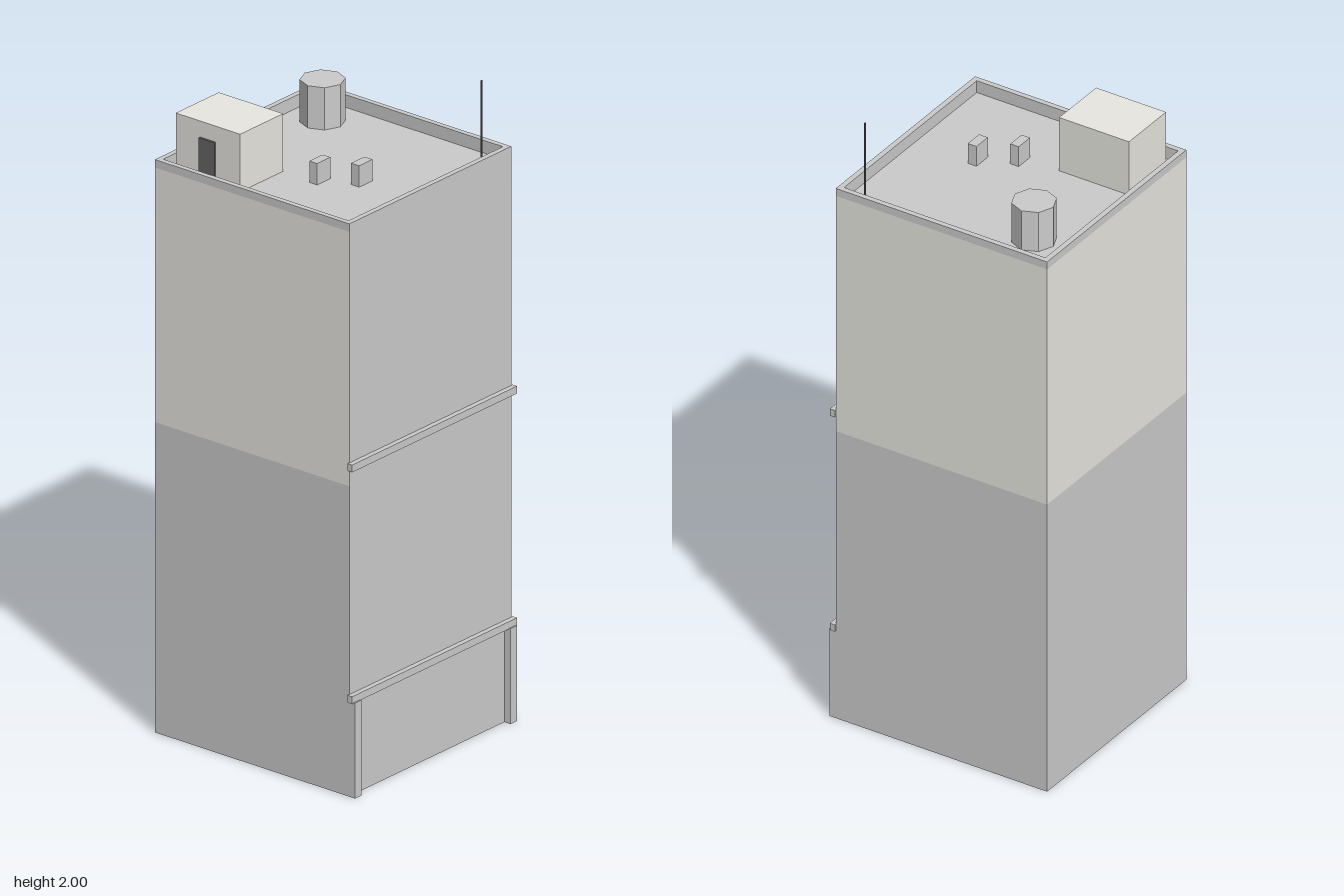
import * as THREE from 'three';

export function createModel() {
  const model = new THREE.Group();
  const mat = (color, side = THREE.FrontSide) =>
    new THREE.MeshStandardMaterial({ color, side, flatShading: true });
  const grey = mat(0xcccccc);
  const greySheet = mat(0xcccccc, THREE.DoubleSide);
  const paleSheet = mat(0xe8e7e1, THREE.DoubleSide);
  const pale = mat(0xe8e7e1);
  const dark = mat(0x666666);

  const X = 0.363, BACK = -0.373, FRONT = 0.352;
  const DECK = 1.75, SPLIT = 0.97, WALL_TOP = 1.765, TOP = 1.79;
  const DEPTH = FRONT - BACK, MID_Z = (FRONT + BACK) / 2;

  const add = (name, geometry, material, x = 0, y = 0, z = 0) => {
    const mesh = new THREE.Mesh(geometry, material);
    mesh.name = name;
    mesh.position.set(x, y, z);
    model.add(mesh);
    return mesh;
  };
  // box given by its two extreme corners
  const box = (name, material, x0, x1, y0, y1, z0, z1) =>
    add(name, new THREE.BoxGeometry(x1 - x0, y1 - y0, z1 - z0), material,
      (x0 + x1) / 2, (y0 + y1) / 2, (z0 + z1) / 2);

  // thin shell walls, open underneath, in two tiers
  for (const [tier, y0, y1, material] of [
    ['lower', 0, SPLIT, greySheet],
    ['upper', SPLIT, WALL_TOP, paleSheet],
  ]) {
    const y = (y0 + y1) / 2, h = y1 - y0;
    for (const s of [-1, 1]) {
      add(tier + (s > 0 ? 'LeftWall' : 'RightWall'),
        new THREE.PlaneGeometry(DEPTH, h), material, s * X, y, MID_Z).rotation.y = s * Math.PI / 2;
    }
    add(tier + 'BackWall', new THREE.PlaneGeometry(2 * X, h), material, 0, y, BACK).rotation.y = Math.PI;
  }

  // front wall above the shopfront, and the shopfront panel
  add('frontWall', new THREE.PlaneGeometry(2 * X, WALL_TOP - 0.295), greySheet,
    0, (WALL_TOP + 0.295) / 2, FRONT);
  add('shopfrontPanel', new THREE.PlaneGeometry(2 * X, 0.295), greySheet, 0, 0.1475, FRONT - 0.002);

  // pilasters and cornices on the front
  for (const s of [-1, 1]) {
    add(s > 0 ? 'leftPilaster' : 'rightPilaster', new THREE.BoxGeometry(0.029, 0.298, 0.023),
      grey, s * (X - 0.0145), 0.149, FRONT + 0.0095);
  }
  for (const [name, y] of [['lowerCornice', 0.296], ['middleCornice', 1.02]]) {
    box(name, grey, -0.37, 0.37, y, y + 0.023, FRONT - 0.001, 0.368);
  }

  // roof deck and the parapet ring around it
  add('roofDeck', new THREE.PlaneGeometry(2 * X - 0.002, DEPTH - 0.002), greySheet,
    0, DECK, MID_Z).rotation.x = -Math.PI / 2;
  const rect = (Type, hx, hz) => new Type([[-hx, -hz], [hx, -hz], [hx, hz], [-hx, hz]]
    .map(([x, y]) => new THREE.Vector2(x, y)));
  const ring = rect(THREE.Shape, X, DEPTH / 2);
  ring.holes.push(rect(THREE.Path, X - 0.017, DEPTH / 2 - 0.017));
  add('parapet', new THREE.ExtrudeGeometry(ring, { depth: TOP - WALL_TOP, bevelEnabled: false }),
    grey, 0, WALL_TOP, MID_Z).rotation.x = -Math.PI / 2;
  // inner skirt of the parapet down to the deck
  add('parapetSkirt', new THREE.ExtrudeGeometry(
    (() => {
      const s = rect(THREE.Shape, X - 0.002, DEPTH / 2 - 0.002);
      s.holes.push(rect(THREE.Path, X - 0.017, DEPTH / 2 - 0.017));
      return s;
    })(), { depth: WALL_TOP - DECK, bevelEnabled: false }),
    grey, 0, DECK, MID_Z).rotation.x = -Math.PI / 2;

  // rooftop equipment
  box('stairHouse', pale, -0.315, -0.122, DECK, 1.93, -0.335, -0.095);
  box('stairHouseDoor', dark, -0.321, -0.314, DECK, 1.88, -0.245, -0.186);
  add('waterTank', new THREE.CylinderGeometry(0.0665, 0.0665, 1.882 - DECK, 8), grey,
    0.229, (1.882 + DECK) / 2, -0.24);
  box('ventUnitBack', grey, -0.136, -0.077, DECK, 1.817, 0.014, 0.043);
  box('ventUnitFront', grey, -0.071, -0.012, DECK, 1.817, 0.116, 0.146);
  box('antenna', dark, 0.3, 0.304, DECK, 2, 0.29, 0.294);

  return model;
}
